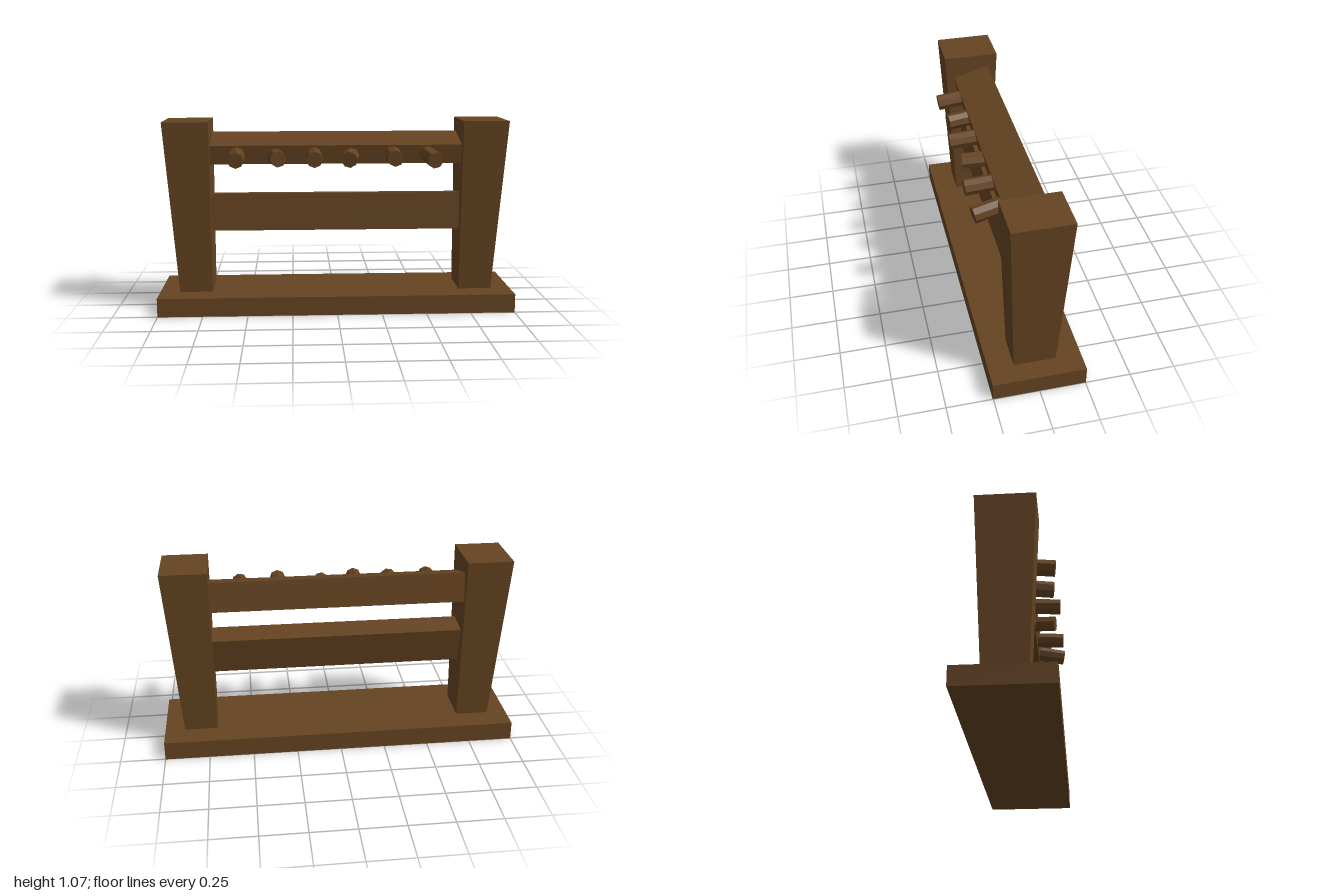
import * as THREE from 'three';

const wood = new THREE.MeshStandardMaterial({ color: 0x654321, flatShading: true });
wood.name = 'darkWood';

const BASE_H = 0.105, TOP = 1.07, INNER = 0.703;

function add(group, name, geometry) {
  const mesh = new THREE.Mesh(geometry, wood);
  mesh.name = name;
  group.add(mesh);
  return mesh;
}

// Post that flares outward and in depth toward its top; inner side stays vertical
function postGeometry(side) {
  const geo = new THREE.BoxGeometry(1, 1, 1);
  const p = geo.attributes.position;
  for (let i = 0; i < p.count; i++) {
    const top = p.getY(i) > 0;
    const outward = p.getX(i) * side > 0;
    const x = outward ? (top ? 0.957 : 0.888) : INNER;
    const z = Math.sign(p.getZ(i)) * (top ? 0.158 : 0.115);
    p.setXYZ(i, side * x, top ? TOP : BASE_H, z);
  }
  geo.computeVertexNormals();
  return geo;
}

// Beam along x from a cross-section of [z, y] points
function railGeometry(section) {
  const shape = new THREE.Shape(section.map(([z, y]) => new THREE.Vector2(-z, y)));
  const length = 2 * INNER + 0.02;
  return new THREE.ExtrudeGeometry(shape, { depth: length, bevelEnabled: false })
    .translate(0, 0, -length / 2)
    .rotateY(Math.PI / 2);
}

export function createModel() {
  const group = new THREE.Group();
  group.name = 'pegRack';

  // Base plank
  add(group, 'base', new THREE.BoxGeometry(2, BASE_H, 0.506).translate(0, BASE_H / 2, 0));

  // Side posts
  add(group, 'leftPost', postGeometry(1));
  add(group, 'rightPost', postGeometry(-1));

  // Skewed cross rails
  add(group, 'upperRail', railGeometry([[0.105, 0.935], [-0.1, 0.995], [-0.12, 0.83], [0.09, 0.83]]));
  add(group, 'lowerRail', railGeometry([[0.065, 0.66], [-0.09, 0.642], [-0.045, 0.435], [0.075, 0.45]]));

  // Pegs: [root x, root y, tip x, tip y, tip z]
  const pegs = [
    [-0.555, 0.89, -0.553, 0.868, 0.234],
    [-0.352, 0.877, -0.322, 0.872, 0.216],
    [-0.125, 0.885, -0.125, 0.872, 0.246],
    [0.093, 0.88, 0.066, 0.866, 0.21],
    [0.313, 0.888, 0.316, 0.876, 0.25],
    [0.5, 0.893, 0.535, 0.864, 0.247],
  ];
  const up = new THREE.Vector3(0, 1, 0);
  pegs.forEach(([rx, ry, tx, ty, tz], i) => {
    const root = new THREE.Vector3(rx, ry, 0.03);
    const tip = new THREE.Vector3(tx, ty, tz);
    const axis = tip.clone().sub(root);
    const peg = add(group, `peg${i + 1}`, new THREE.CylinderGeometry(0.045, 0.045, axis.length(), 8));
    peg.position.copy(root).add(tip).multiplyScalar(0.5);
    peg.quaternion.setFromUnitVectors(up, axis.normalize());
  });

  return group;
}
